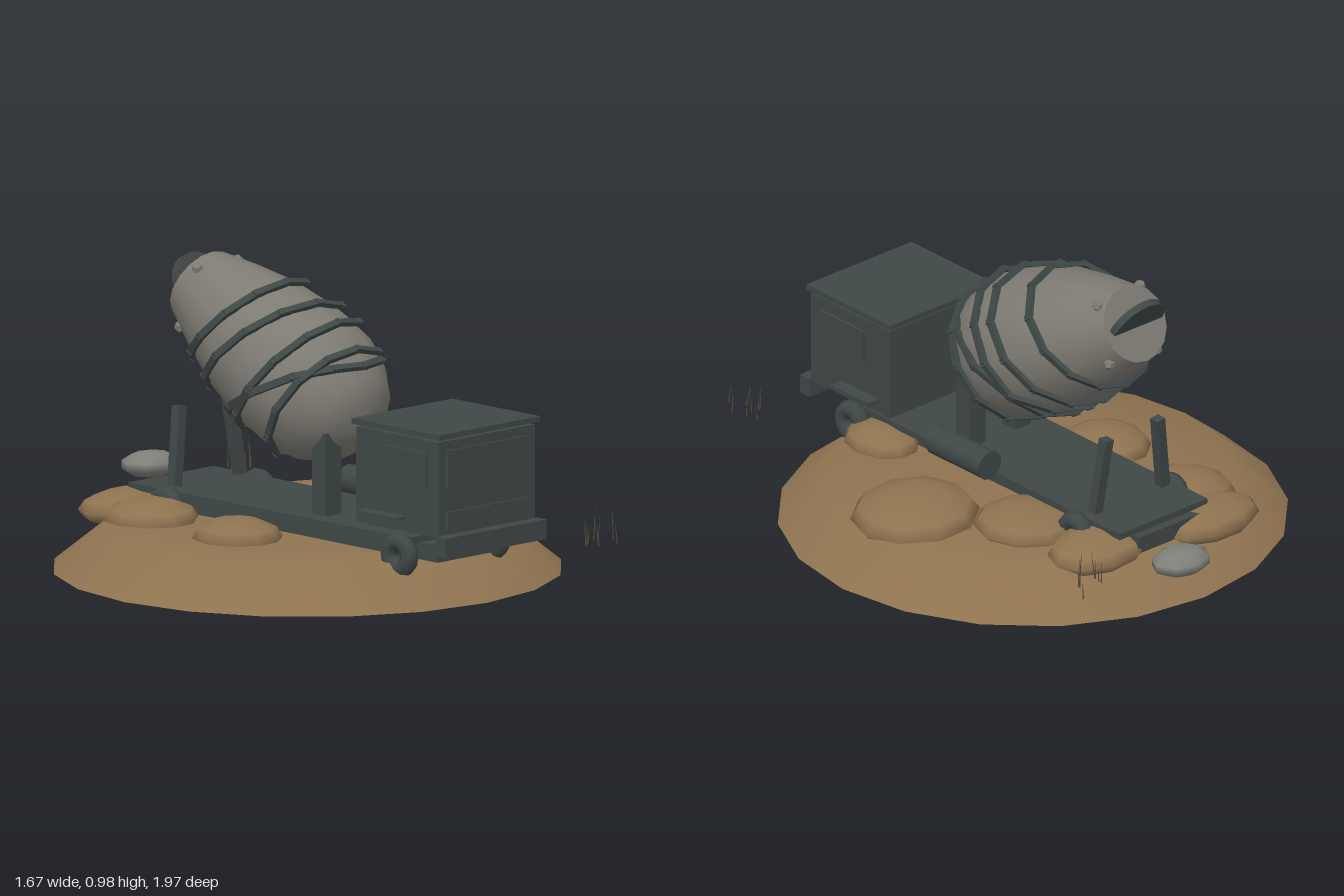
import * as THREE from 'three';

export function createModel() {
  const root = new THREE.Group();
  const mat = (name, color, double) => {
    const m = new THREE.MeshStandardMaterial({ color });
    m.name = name;
    if (double) m.side = THREE.DoubleSide;
    return m;
  };
  const earth = mat('dry earth', 0x8f7350);
  const steel = mat('dark steel', 0x3f4747);
  const shell = mat('drum grey', 0x7e7b73);
  const stone = mat('stone', 0x7f807a);
  const straw = mat('dry grass', 0x5a5040, true);
  let seed = 7;
  const rand = () => (seed = (seed * 16807) % 2147483647) / 2147483647;

  const add = (name, geo, material, x = 0, y = 0, z = 0, parent = root) => {
    const m = new THREE.Mesh(geo, material);
    m.name = name;
    m.position.set(x, y, z);
    parent.add(m);
    return m;
  };
  // box from its limits on each axis
  const box = (name, x0, x1, y0, y1, z0, z1, material = steel) =>
    add(name, new THREE.BoxGeometry(x1 - x0, y1 - y0, z1 - z0), material,
      (x0 + x1) / 2, (y0 + y1) / 2, (z0 + z1) / 2);
  const v2 = (x, y) => new THREE.Vector2(x, y);

  // round earth base, with a separate underside
  add('earthBase', new THREE.LatheGeometry(
    [v2(0.833, 0), v2(0.665, 0.135), v2(0.4, 0.138), v2(0, 0.14)], 20), earth, 0, 0, -0.04);
  add('earthUnderside', new THREE.CircleGeometry(0.833, 20), earth, 0, 0.001, -0.04).rotation.x = Math.PI / 2;

  // low mounds: x, z, radius x, radius z, height
  [[0.48, 0, 0.215, 0.21, 0.075], [-0.31, -0.05, 0.145, 0.155, 0.065],
    [0.25, -0.3, 0.19, 0.18, 0.06], [0.2, -0.58, 0.19, 0.14, 0.06],
    [-0.2, -0.66, 0.2, 0.13, 0.06], [-0.29, -0.47, 0.15, 0.165, 0.065],
    [0.21, 0.46, 0.11, 0.14, 0.06]].forEach(([x, z, rx, rz, h], i) => {
    const m = add('mound', new THREE.SphereGeometry(1, 10, 6), earth, x, 0.142, z);
    m.scale.set(rx, h, rz);
    m.rotation.z = (i % 3 - 1) * 0.05;
  });

  // chassis
  box('deck', -0.195, 0.19, 0.195, 0.217, -0.67, 0.62);
  box('frame', -0.135, 0.135, 0.138, 0.195, -0.7, 0.7);
  for (const s of [-1, 1]) for (const z of [0.6, -0.48]) {
    const wheel = add('wheel', new THREE.TorusGeometry(0.045, 0.03, 8, 14), steel, s * 0.21, 0.16, z);
    wheel.rotation.y = Math.PI / 2;
  }

  // cab
  box('cab', -0.22, 0.22, 0.245, 0.56, 0.41, 0.79);
  box('cabRoof', -0.232, 0.228, 0.57, 0.588, 0.4, 0.805);
  box('bumper', -0.232, 0.228, 0.185, 0.25, 0.79, 0.835);
  box('windscreen', -0.185, 0.185, 0.4, 0.53, 0.789, 0.798);
  box('grille', -0.185, 0.185, 0.265, 0.325, 0.789, 0.798);
  for (const s of [-1, 1]) {
    add('sideWindow', new THREE.BoxGeometry(0.012, 0.12, 0.215), steel, s * 0.224, 0.46, 0.635);
    add('sideStep', new THREE.BoxGeometry(0.05, 0.012, 0.18), steel, s * 0.244, 0.291, 0.55);
    // drum supports and leaning rear stakes
    add('drumPost', new THREE.BoxGeometry(0.07, 0.28, 0.065), steel, s * 0.1, 0.35, 0.15);
    const stake = add('rearStake', new THREE.BoxGeometry(0.035, 0.26, 0.035), steel, s * 0.13, 0.352, -0.512);
    stake.rotation.set(-0.06, 0, s * 0.14);
  }
  add('sideTank', new THREE.CylinderGeometry(0.05, 0.05, 0.255, 14), steel, 0.22, 0.255, 0.053)
    .rotation.x = Math.PI / 2;

  // mixing drum: local +y points out of the mouth, local +z is its upper side
  const drum = new THREE.Group();
  drum.name = 'drum';
  drum.position.set(0, 0.868, -0.535);
  drum.rotation.x = -1.1;
  root.add(drum);
  const profile = [[0.85, 0], [0.83, 0.1], [0.78, 0.165], [0.7, 0.215], [0.6, 0.242],
    [0.48, 0.245], [0.3, 0.22], [0.14, 0.175], [0, 0.128]];
  add('drumShell', new THREE.LatheGeometry(profile.map(([t, r]) => v2(r, -t)), 16), shell, 0, 0, 0, drum);
  add('drumMouth', new THREE.CircleGeometry(0.128, 16), shell, 0, 0, 0, drum).rotation.x = -Math.PI / 2;
  const radiusAt = (t) => {
    for (let i = 0; i < profile.length - 1; i++) {
      const [a, ra] = profile[i], [b, rb] = profile[i + 1];
      if (t <= a && t >= b) return ra + (rb - ra) * (a - t) / (a - b);
    }
    return 0.128;
  };

  // slanted straps wrapped round the drum: middle, slant, roll
  [[0.24, 0.09, 0.1], [0.38, 0.1, -0.25], [0.52, 0.07, 0.3], [0.56, 0.19, 0], [0.67, 0.03, -0.2]]
    .forEach(([mid, slant, roll]) => {
      const count = 12;
      const at = (i) => {
        const a = i / count * Math.PI * 2;
        const t = mid + slant * Math.cos(a + roll);
        const r = radiusAt(t) + 0.013;
        return new THREE.Vector3(Math.sin(a) * r, -t, Math.cos(a) * r);
      };
      for (let i = 0; i < count; i++) {
        const p = at(i), q = at(i + 1);
        const along = q.clone().sub(p);
        const centre = p.clone().add(q).multiplyScalar(0.5);
        const strap = add('strap', new THREE.BoxGeometry(0.016, 0.024, along.length() + 0.02),
          steel, centre.x, centre.y, centre.z, drum);
        const dir = along.normalize();
        const out = new THREE.Vector3(centre.x, 0, centre.z).normalize();
        const side = dir.clone().cross(out).normalize();
        out.crossVectors(side, dir);
        strap.quaternion.setFromRotationMatrix(new THREE.Matrix4().makeBasis(out, side, dir));
      }
    });

  // chipped lumps near the mouth
  [0.8, -0.75, 2.3, -2.4].forEach((a, i) => {
    const t = 0.03 + i * 0.012, r = radiusAt(t);
    add('chip', new THREE.DodecahedronGeometry(0.02), shell, Math.sin(a) * r, -t, Math.cos(a) * r, drum);
  });

  // half-round chute plate standing out of the mouth
  const half = new THREE.Shape();
  half.absarc(0, 0, 0.105, 0, Math.PI, false);
  half.closePath();
  add('chute', new THREE.ExtrudeGeometry(half, { depth: 0.025, bevelEnabled: false, curveSegments: 10 }),
    steel, 0, 0.862, -0.55).rotation.x = -0.5;

  // loose rock
  const rock = add('rock', new THREE.SphereGeometry(1, 8, 5), stone, 0.142, 0.197, -0.913);
  rock.scale.set(0.11, 0.043, 0.087);

  // thin grass tufts
  for (const [x, z] of [[0.43, -0.79], [0.43, 0.91]]) for (let i = 0; i < 8; i++) {
    const h = 0.06 + rand() * 0.06;
    const blade = add('grassBlade', new THREE.ConeGeometry(0.003, h, 3), straw,
      x + (rand() - 0.5) * 0.17, 0.14 + h / 2 + rand() * 0.03, z + (rand() - 0.5) * 0.16);
    blade.rotation.set((rand() - 0.5) * 0.25, 0, (rand() - 0.5) * 0.25);
  }
  return root;
}
